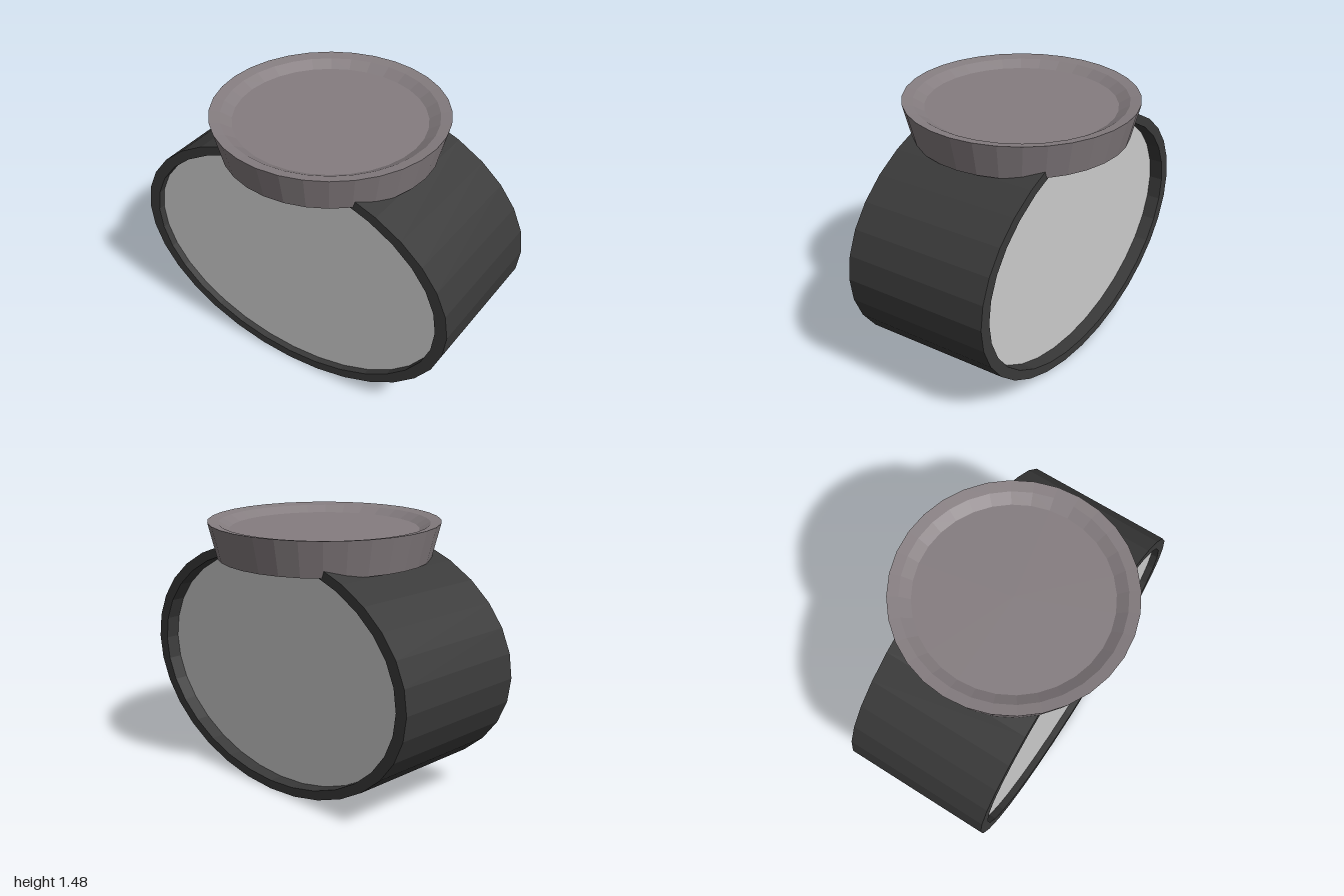
import * as THREE from 'three';

const CENTER_Y = 0.695;
const SIDES = 32;

// Point list of a faceted ellipse around the drum axis
function ellipsePoints(rx, ry) {
  return Array.from({ length: SIDES }, (_, i) => {
    const a = (i / SIDES) * Math.PI * 2;
    return new THREE.Vector2(Math.cos(a) * rx, Math.sin(a) * ry);
  });
}

export function createModel() {
  const group = new THREE.Group();
  const add = (name, geometry, color, y, z) => {
    const material = new THREE.MeshStandardMaterial({ color, flatShading: true });
    const mesh = new THREE.Mesh(geometry, material);
    mesh.name = name;
    mesh.position.set(0, y, z);
    group.add(mesh);
    return mesh;
  };

  // Elliptical band, open through the middle
  const outline = new THREE.Shape(ellipsePoints(1, 0.695));
  outline.holes.push(new THREE.Path(ellipsePoints(0.93, 0.645)));
  const band = new THREE.ExtrudeGeometry(outline, { depth: 0.845, bevelEnabled: false });
  add('drumBand', band, 0x3a3a3a, CENTER_Y, -0.425);

  // Face panels, both set back inside the band, the back one deeper
  const panel = new THREE.ShapeGeometry(new THREE.Shape(ellipsePoints(0.93, 0.645)));
  add('frontPanel', panel, 0xcccccc, CENTER_Y, 0.38);
  add('backPanel', panel, 0xcccccc, CENTER_Y, -0.345).rotation.y = Math.PI;

  // Flared round tray with a shallow dished top
  const profile = [
    [0, 1.28], [0.595, 1.28], [0.645, 1.48], [0.585, 1.47], [0.525, 1.435], [0, 1.435],
  ].map(([r, y]) => new THREE.Vector2(r, y));
  add('topTray', new THREE.LatheGeometry(profile, SIDES), 0x857d80, 0, 0);

  return group;
}
